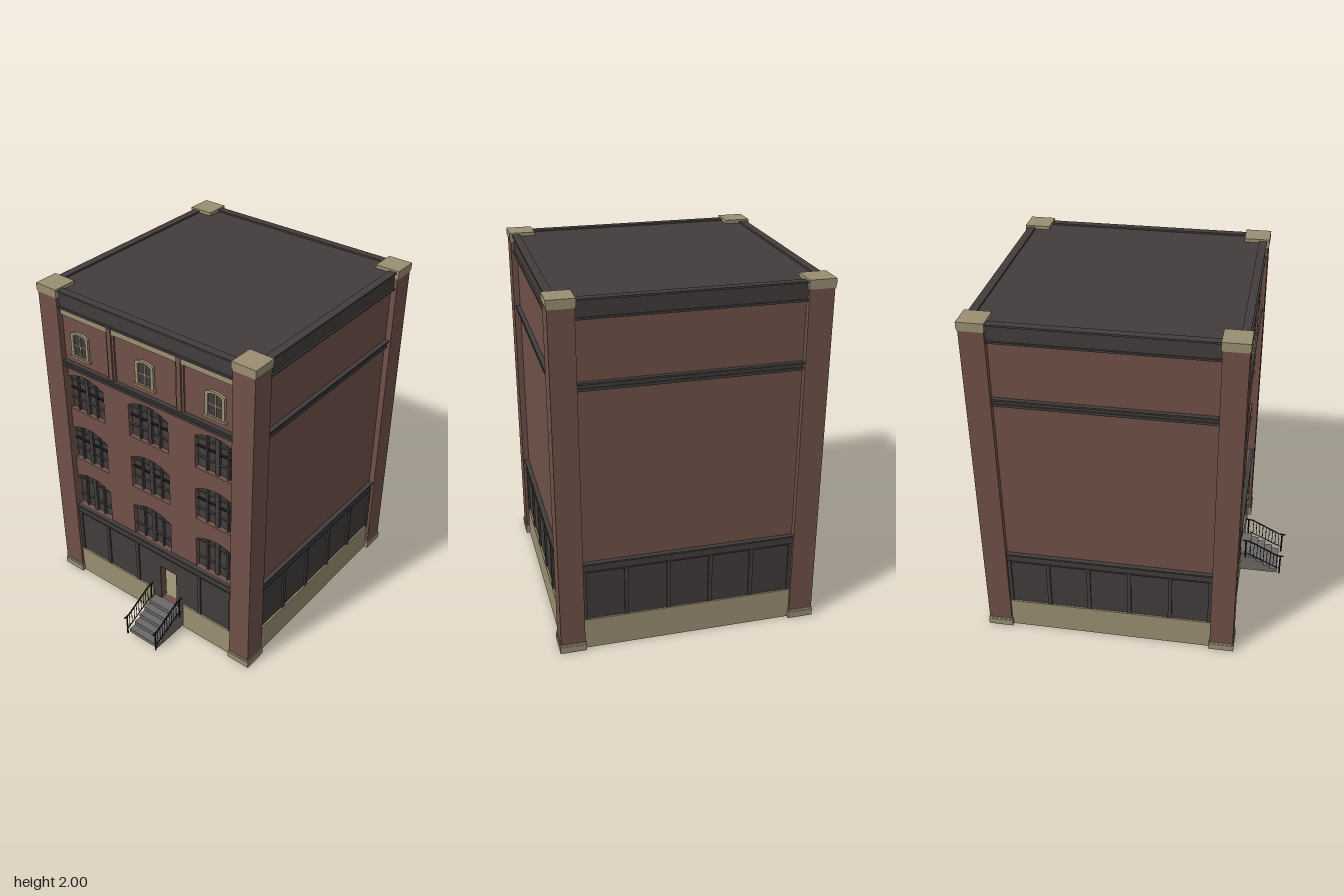
import * as THREE from 'three';

const mat = (name, color) => {
  const m = new THREE.MeshStandardMaterial({ color });
  m.name = name;
  return m;
};

export function createModel() {
  const brick = mat('brick', 0x6f5148);
  const tan = mat('sandstone', 0x9a8e72);
  const dark = mat('dark trim', 0x423c3c);
  const grey = mat('concrete', 0x6b6967);
  const black = mat('black iron', 0x1c1b1b);

  const model = new THREE.Group();
  model.name = 'cornerPillarBuilding';
  const building = new THREE.Group();
  building.name = 'building';
  building.position.z = -0.123;
  model.add(building);

  const add = (parent, name, geo, material) => {
    const m = new THREE.Mesh(geo, material);
    m.name = name;
    parent.add(m);
    return m;
  };
  // Box given by its limits
  const box = (parent, name, material, x0, x1, y0, y1, z0, z1) => {
    const m = add(parent, name, new THREE.BoxGeometry(x1 - x0, y1 - y0, z1 - z0), material);
    m.position.set((x0 + x1) / 2, (y0 + y1) / 2, (z0 + z1) / 2);
    return m;
  };
  const rect = (C, x0, x1, y0, y1) => {
    const s = new C();
    s.moveTo(x0, y0);
    s.lineTo(x1, y0);
    s.lineTo(x1, y1);
    s.lineTo(x0, y1);
    s.closePath();
    return s;
  };
  // Opening with a shallow arched head
  const arch = (C, cx, hw, y0, spring, top) => {
    const s = new C();
    s.moveTo(cx - hw, y0);
    s.lineTo(cx + hw, y0);
    s.lineTo(cx + hw, spring);
    s.quadraticCurveTo(cx, 2 * top - spring, cx - hw, spring);
    s.closePath();
    return s;
  };
  const slab = (parent, name, shape, depth, z, material) => {
    const geo = new THREE.ExtrudeGeometry(shape, { depth, bevelEnabled: false, curveSegments: 10 });
    const m = add(parent, name, geo, material);
    m.position.z = z;
    return m;
  };
  // Square band running round the building
  const band = (name, material, y0, y1, half) => {
    const s = rect(THREE.Shape, -half, half, -half, half);
    s.holes.push(rect(THREE.Path, -0.67, 0.67, -0.67, 0.67));
    const m = slab(building, name, s, y1 - y0, 0, material);
    m.rotation.x = -Math.PI / 2;
    m.position.y = y0;
  };

  // Hollow shell: front wall with openings, plain walls on the other sides
  const W = 0.69, T = 0.04;
  const front = rect(THREE.Shape, -W, W, 0, 1.97);
  const door = () => rect(THREE.Path, 0.055, 0.175, 0.125, 0.38);
  front.holes.push(door());
  const columns = [-0.465, 0, 0.465];
  for (const y of [0.535, 0.885, 1.235]) {
    for (const x of columns) {
      front.holes.push(arch(THREE.Path, x, 0.14, y, y + 0.205, y + 0.245));
      const win = new THREE.Group();
      win.name = 'archedWindow';
      building.add(win);
      slab(win, 'windowPane', arch(THREE.Shape, x, 0.14, y, y + 0.205, y + 0.245), 0.008, W - 0.036, dark);
      for (const dx of [-0.07, 0, 0.07]) {
        const h = dx ? 0.005 : 0.012;
        box(win, 'verticalBar', dark, x + dx - h, x + dx + h, y, y + 0.23, W - 0.03, W - 0.012);
      }
      for (const dy of [0.07, 0.19])
        box(win, 'horizontalBar', dark, x - 0.14, x + 0.14, y + dy - 0.004, y + dy + 0.004, W - 0.03, W - 0.015);
      if (y > 0.6) box(win, 'meetingRail', black, x - 0.14, x + 0.14, y + 0.132, y + 0.139, W - 0.03, W - 0.014);
    }
  }
  slab(building, 'frontWall', front, T, W - T, brick);
  box(building, 'backWall', brick, -W, W, 0, 1.97, -W, -W + T);
  for (const s of [-1, 1])
    box(building, 'sideWall', brick, s * (W - T / 2) - T / 2, s * (W - T / 2) + T / 2, 0, 1.97, -W + T, W - T);
  box(building, 'floor', tan, -0.655, 0.655, 0.11, 0.125, -0.655, 0.655);
  box(building, 'roof', dark, -0.68, 0.68, 1.965, 1.98, -0.68, 0.68);

  // Corner pillars with base and cap
  for (const sx of [-1, 1]) for (const sz of [-1, 1]) {
    const pillar = new THREE.Group();
    pillar.name = 'cornerPillar';
    pillar.position.set(sx * 0.6575, 0, sz * 0.6575);
    building.add(pillar);
    const block = (name, m, h, y0, y1) => box(pillar, name, m, -h, h, y0, y1, -h, h);
    block('shaft', brick, 0.067, 0.01, 1.98);
    block('base', tan, 0.0725, 0, 0.038);
    block('baseStep', tan, 0.07, 0.038, 0.052);
    block('capStep', tan, 0.07, 1.95, 1.962);
    block('cap', tan, 0.0725, 1.962, 2);
  }

  // Cornices
  band('shopCornice', dark, 0.485, 0.525, 0.708);
  band('shopCorniceLip', dark, 0.525, 0.535, 0.717);
  band('shopCorniceFoot', dark, 0.478, 0.485, 0.712);
  band('middleCorniceFoot', dark, 1.515, 1.53, 0.706);
  band('middleCornice', dark, 1.53, 1.552, 0.7);
  band('middleCorniceLip', dark, 1.552, 1.562, 0.715);
  band('roofCorniceFoot', dark, 1.885, 1.896, 0.715);
  band('roofCornice', dark, 1.896, 1.98, 0.705);
  band('roofCorniceLip', dark, 1.98, 1.99, 0.715);

  // Ground floor panels, posts and plinth on each side
  for (let i = 0; i < 4; i++) {
    const side = new THREE.Group();
    side.name = 'groundFloorSide';
    side.rotation.y = (i * Math.PI) / 2;
    building.add(side);
    const panel = rect(THREE.Shape, -0.6, 0.6, 0.1, 0.48);
    if (i === 0) panel.holes.push(door());
    slab(side, 'shopPanel', panel, 0.008, W, dark);
    for (const x of [-0.582, -0.353, -0.118, 0.118, 0.353, 0.582])
      if (i !== 0 || x !== 0.118) box(side, 'shopPost', dark, x - 0.011, x + 0.011, 0.18, 0.48, W, W + 0.018);
    const spans = i === 0 ? [[-0.6, 0], [0.23, 0.6]] : [[-0.6, 0.6]];
    for (const [a, b] of spans) box(side, 'plinth', tan, a, b, 0, 0.18, W, W + 0.018);
  }

  // Top storey: frieze, pilasters and small windows
  box(building, 'frieze', tan, -0.6, 0.6, 1.845, 1.885, W, W + 0.012);
  for (const x of [-0.237, 0.237]) {
    box(building, 'pilaster', brick, x - 0.027, x + 0.027, 1.562, 1.885, W, W + 0.009);
    box(building, 'pilasterRib', brick, x - 0.014, x + 0.014, 1.562, 1.885, W, W + 0.018);
  }
  for (const x of columns) {
    const win = new THREE.Group();
    win.name = 'smallWindow';
    building.add(win);
    const frame = arch(THREE.Shape, x, 0.063, 1.61, 1.75, 1.767);
    frame.holes.push(arch(THREE.Path, x, 0.044, 1.618, 1.74, 1.753));
    slab(win, 'frame', frame, 0.014, W, tan);
    slab(win, 'pane', arch(THREE.Shape, x, 0.046, 1.615, 1.74, 1.754), 0.004, W, dark);
    box(win, 'verticalBar', tan, x - 0.005, x + 0.005, 1.615, 1.752, W, W + 0.009);
    box(win, 'horizontalBar', tan, x - 0.045, x + 0.045, 1.677, 1.686, W, W + 0.009);
    box(win, 'sill', tan, x - 0.073, x + 0.073, 1.602, 1.614, W, W + 0.02);
  }

  // Entrance steps
  const stairs = new THREE.Group();
  stairs.name = 'entranceStairs';
  model.add(stairs);
  for (let i = 0; i < 5; i++)
    box(stairs, 'step', grey, 0.008, 0.222, i * 0.025, (i + 1) * 0.025, 0.572, 0.815 - i * 0.045);

  // Iron railings
  const bar = (parent, name, a, b, r) => {
    const m = add(parent, name, new THREE.CylinderGeometry(r, r, a.distanceTo(b), 6), black);
    m.position.copy(a).lerp(b, 0.5);
    m.quaternion.setFromUnitVectors(new THREE.Vector3(0, 1, 0), b.clone().sub(a).normalize());
  };
  for (const x of [0.005, 0.225]) {
    const rail = new THREE.Group();
    rail.name = 'railing';
    stairs.add(rail);
    const p = (y, z) => new THREE.Vector3(x, y, z);
    const top = [p(0.137, 0.85), p(0.14, 0.81), p(0.23, 0.635), p(0.235, 0.59)];
    for (let i = 0; i < 3; i++) bar(rail, 'handrail', top[i], top[i + 1], 0.0045);
    bar(rail, 'lowerRail', p(0.035, 0.83), p(0.135, 0.62), 0.003);
    bar(rail, 'newelPost', p(0, 0.83), p(0.14, 0.83), 0.005);
    bar(rail, 'topPost', p(0.1, 0.61), p(0.235, 0.61), 0.005);
    for (let i = 1; i < 10; i++) {
      const t = i / 10, z = 0.83 - 0.21 * t;
      bar(rail, 'baluster', p(0.035 + 0.1 * t, z), p(0.132 + 0.102 * t, z), 0.002);
    }
  }
  return model;
}
